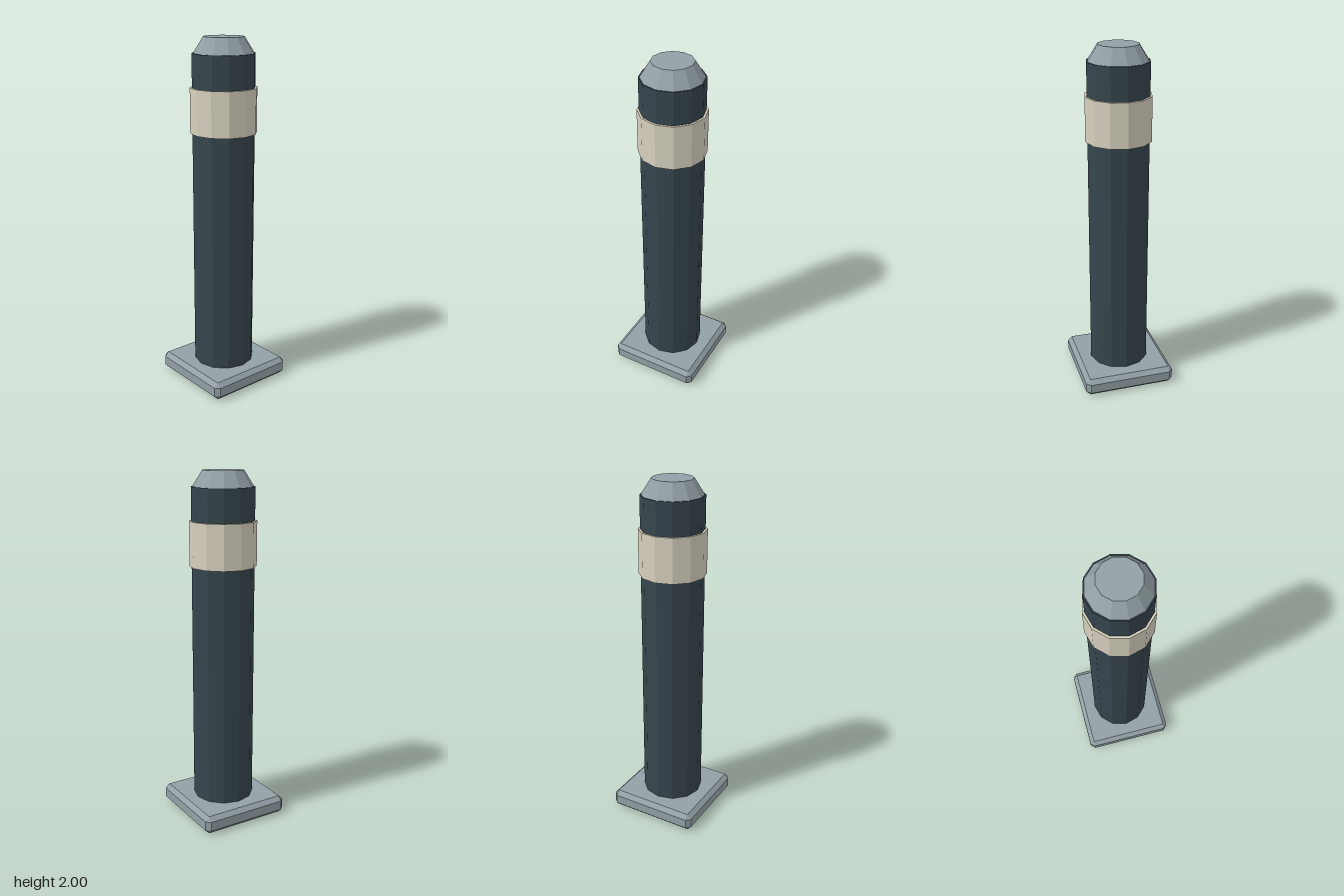
import * as THREE from 'three';
import { ConvexGeometry } from 'three/addons/geometries/ConvexGeometry.js';

const flat = (name, color) => {
  const m = new THREE.MeshStandardMaterial({ color, flatShading: true });
  m.name = name;
  return m;
};

// Box with every edge and corner chamfered by c
function chamferedBox(hx, hy, hz, c) {
  const points = [];
  for (const x of [-1, 1]) for (const y of [-1, 1]) for (const z of [-1, 1]) {
    points.push(
      new THREE.Vector3(x * hx, y * (hy - c), z * (hz - c)),
      new THREE.Vector3(x * (hx - c), y * hy, z * (hz - c)),
      new THREE.Vector3(x * (hx - c), y * (hy - c), z * hz)
    );
  }
  return new ConvexGeometry(points);
}

export function createModel() {
  const group = new THREE.Group();
  group.name = 'bollard';
  const steel = flat('blue grey steel', 0x92a0a5);
  const dark = flat('dark slate', 0x36454d);
  const cream = flat('cream band', 0xd6d0be);

  const add = (name, geometry, material, y) => {
    const mesh = new THREE.Mesh(geometry, material);
    mesh.name = name;
    mesh.position.y = y;
    group.add(mesh);
  };
  // Twelve-sided section between two heights
  const section = (name, rTop, rBottom, y0, y1, material) =>
    add(name, new THREE.CylinderGeometry(rTop, rBottom, y1 - y0, 12), material, (y0 + y1) / 2);

  add('basePlate', chamferedBox(0.267, 0.0525, 0.267, 0.025), steel, 0.0525);
  section('post', 0.175, 0.175, 0.09, 1.913, dark);
  section('band', 0.187, 0.187, 1.48, 1.73, cream);
  section('cap', 0.113, 0.17, 1.91, 2, steel);

  return group;
}
